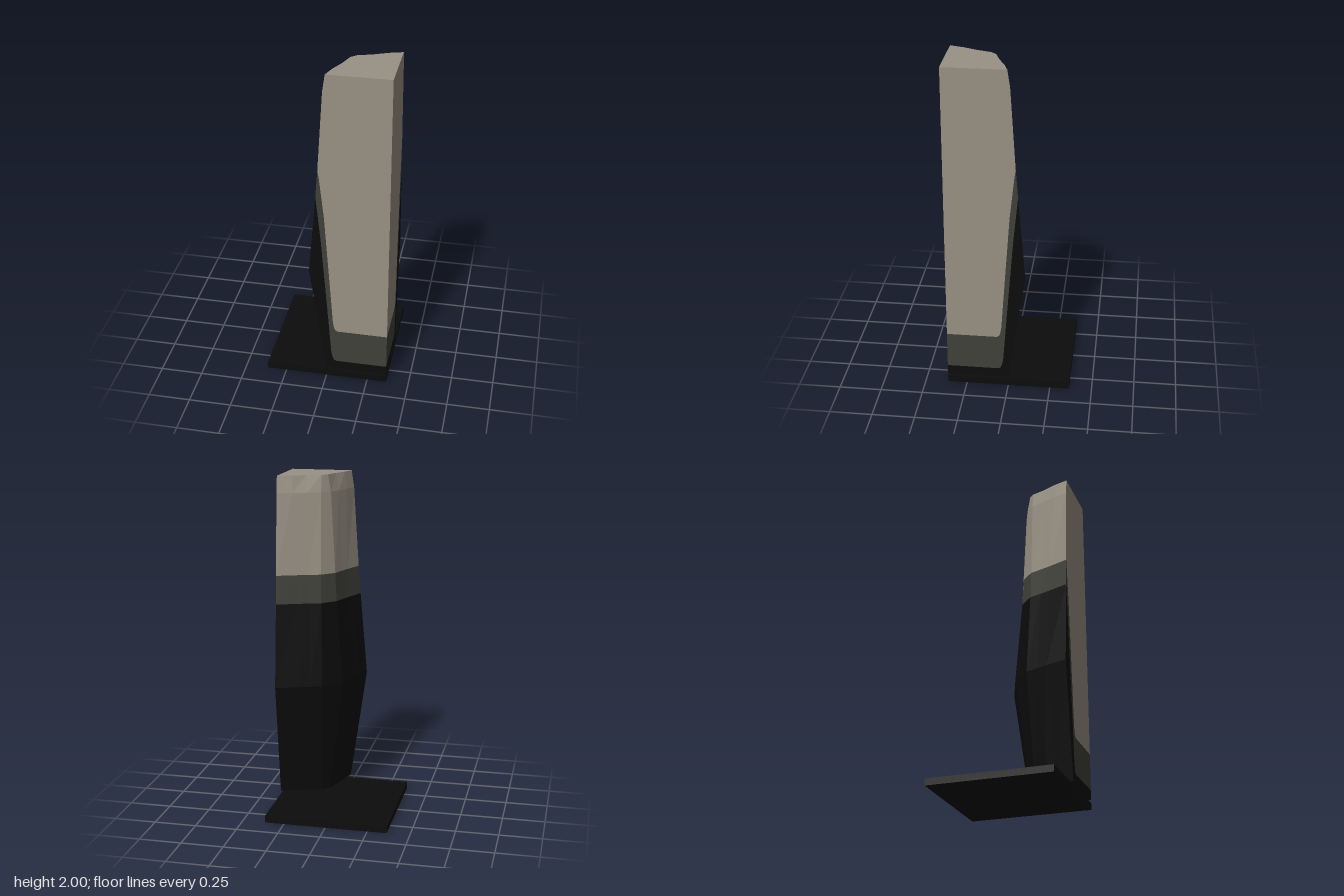
import * as THREE from 'three';

const E = 0.365; // half width of the base, and the plane of both flat faces

function material(name, color) {
  const m = new THREE.MeshStandardMaterial({ color });
  m.name = name;
  return m;
}

// Half cross-sections from the front edge to the diagonal; the other half is mirrored
const RINGS = [
  { y: 0.06, half: [[0, E], [0.03, 0.265], [0.052, 0.19], [0.08, 0.12]] },
  { y: 0.75, half: [[-0.1, E], [-0.055, 0.235], [-0.03, 0.17], [-0.005, 0.1]] },
  { y: 1.25, half: [[-0.058, E], [-0.01, 0.245], [0.013, 0.185], [0.037, 0.113]] },
  { y: 1.42, half: [[-0.045, E], [0, 0.25], [0.022, 0.19], [0.046, 0.117]] },
  { y: 1.9, half: [[-0.015, E], [0.012, 0.275], [0.04, 0.2], [0.072, 0.12]] },
  { y: 2, half: [[0, E], [0.025, 0.285], [0.062, 0.205], [0.09, 0.12]] },
].map(({ y, half }) => ({
  y,
  points: [...half, ...half.slice().reverse().map(([x, z]) => [z, x])],
}));

// Faceted strip through consecutive rings
function shell(first, last) {
  const pos = [];
  for (let r = first; r < last; r++) {
    const lo = RINGS[r], hi = RINGS[r + 1];
    for (let i = 0; i < lo.points.length - 1; i++) {
      const at = (ring, k) => [ring.points[k][0], ring.y, ring.points[k][1]];
      const a = at(lo, i), b = at(lo, i + 1), c = at(hi, i), d = at(hi, i + 1);
      pos.push(...a, ...c, ...b, ...b, ...c, ...d);
    }
  }
  const g = new THREE.BufferGeometry();
  g.setAttribute('position', new THREE.Float32BufferAttribute(pos, 3));
  g.computeVertexNormals();
  return g;
}

function polygon(points) {
  return new THREE.ShapeGeometry(new THREE.Shape(points.map(([x, y]) => new THREE.Vector2(x, y))));
}

export function createModel() {
  const group = new THREE.Group();
  const stone = material('warm grey', 0x999184);
  const dark = material('dark olive grey', 0x40413a);
  const black = material('black', 0x0c0c0c);

  const add = (name, geometry, mat) => {
    const mesh = new THREE.Mesh(geometry, mat);
    mesh.name = name;
    group.add(mesh);
    return mesh;
  };

  // Square base plate
  add('basePlate', new THREE.BoxGeometry(2 * E, 0.04, 2 * E), black).position.y = 0.02;

  // Bulging back of the tower in three colour bands
  add('lowerBack', shell(0, 2), black);
  add('middleBack', shell(2, 3), dark);
  add('upperBack', shell(3, 5), stone);

  // Flat roof and underside
  const roof = polygon([...RINGS[5].points, [E, E]].map(([x, z]) => [x, -z]));
  add('roof', roof.rotateX(-Math.PI / 2).translate(0, 2, 0), stone);
  const floor = polygon([...RINGS[0].points, [E, E]]);
  add('underside', floor.rotateX(Math.PI / 2).translate(0, 0.06, 0), black);

  // Colour borders on the flat faces, from the outer edge down to the corner
  const upper = [[-0.045, 1.42], [-0.037, 1.37], [-0.01, 1.12], [0.03, 0.55], [0.04, 0.4],
    [0.047, 0.36], [0.055, 0.342], [0.07, 0.335], [E, 0.335]];
  const lower = [[-0.058, 1.25], [-0.053, 1.2], [-0.03, 0.97], [0.01, 0.45], [0.03, 0.18],
    [0.038, 0.14], [0.047, 0.121], [0.065, 0.115], [E, 0.115]];
  const faces = [
    ['upperFace', stone, [[E, 2], [0, 2], [-0.015, 1.9], ...upper]],
    ['middleFace', dark, [...upper, ...lower.slice().reverse()]],
    ['lowerFace', black, [...lower, [E, 0.06], [0, 0.06], [-0.1, 0.75]]],
  ];
  for (const [name, mat, points] of faces) {
    add(name + 'Front', polygon(points).translate(0, 0, E), mat);
    const side = polygon(points.map(([u, y]) => [-u, y])).translate(0, 0, E);
    add(name + 'Left', side.rotateY(Math.PI / 2), mat);
  }

  return group;
}
